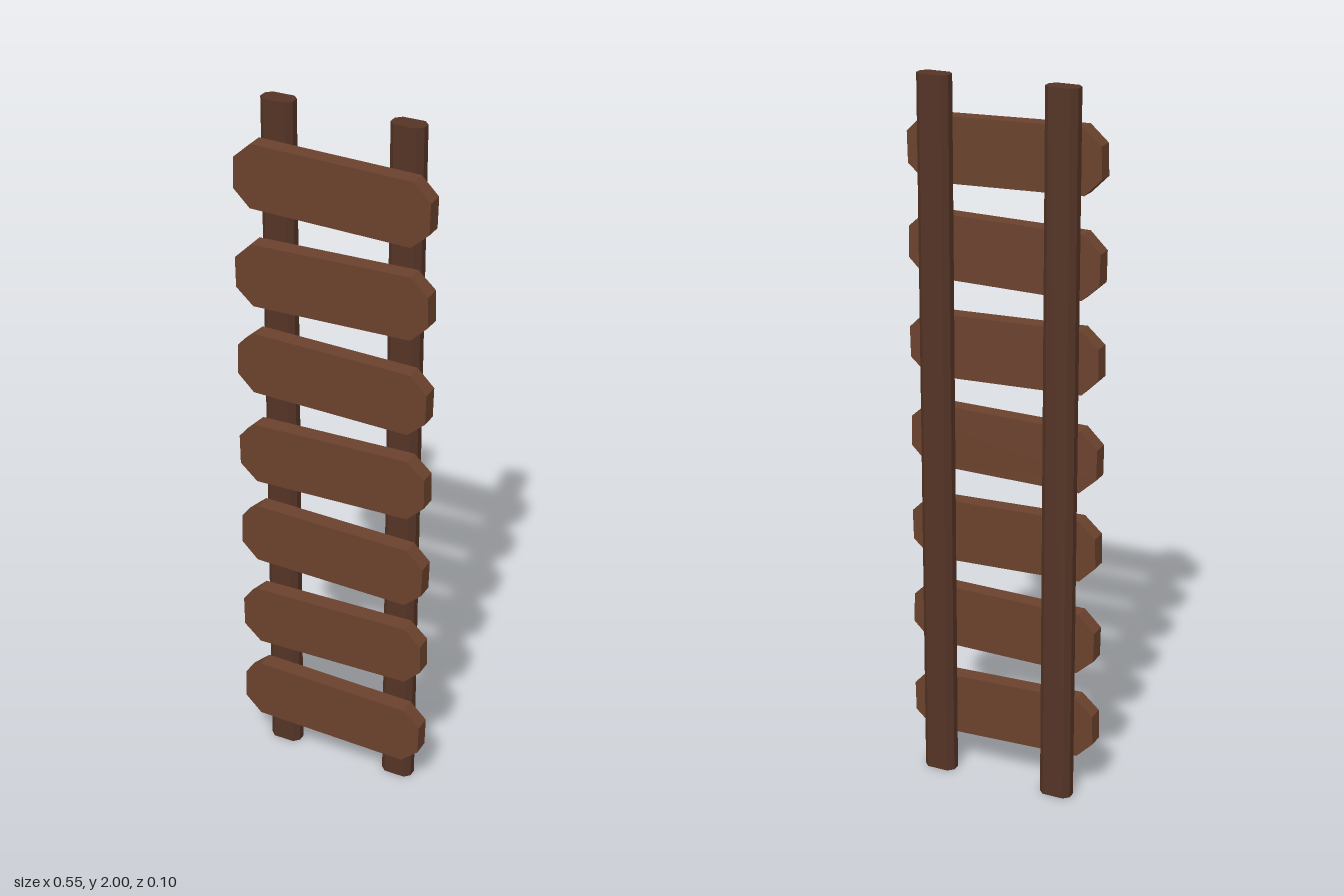
import * as THREE from 'three';

const railMaterial = new THREE.MeshStandardMaterial({ color: 0x553426, flatShading: true });
const rungMaterial = new THREE.MeshStandardMaterial({ color: 0x6b422d, flatShading: true });

// Rectangle with cut corners, extruded along z and centred on the origin
function chamferedBar(width, height, depth, cutX, cutY) {
  const w = width / 2, h = height / 2;
  const shape = new THREE.Shape([
    [w - cutX, -h], [w, -h + cutY], [w, h - cutY], [w - cutX, h],
    [-w + cutX, h], [-w, h - cutY], [-w, -h + cutY], [-w + cutX, -h],
  ].map(([x, y]) => new THREE.Vector2(x, y)));
  return new THREE.ExtrudeGeometry(shape, { depth, bevelEnabled: false }).translate(0, 0, -depth / 2);
}

export function createModel() {
  const ladder = new THREE.Group();
  ladder.name = 'ladder';

  // Two upright rails with an eight-sided section
  const railGeometry = chamferedBar(0.091, 0.053, 2, 0.015, 0.015).rotateX(-Math.PI / 2);
  for (const side of [-1, 1]) {
    const rail = new THREE.Mesh(railGeometry, railMaterial);
    rail.name = side > 0 ? 'leftRail' : 'rightRail';
    rail.position.set(side * 0.18, 1, -0.0245);
    ladder.add(rail);
  }

  // Seven plank rungs on the front, tilted alternately
  const rungGeometry = chamferedBar(0.549, 0.177, 0.047, 0.049, 0.046);
  for (let i = 0; i < 7; i++) {
    const rung = new THREE.Mesh(rungGeometry, rungMaterial);
    rung.name = `rung${i + 1}`;
    rung.position.set(0, 0.195 + i * 0.2675, 0.0255);
    rung.rotation.z = i % 2 ? 0.017 : -0.027;
    ladder.add(rung);
  }
  return ladder;
}
